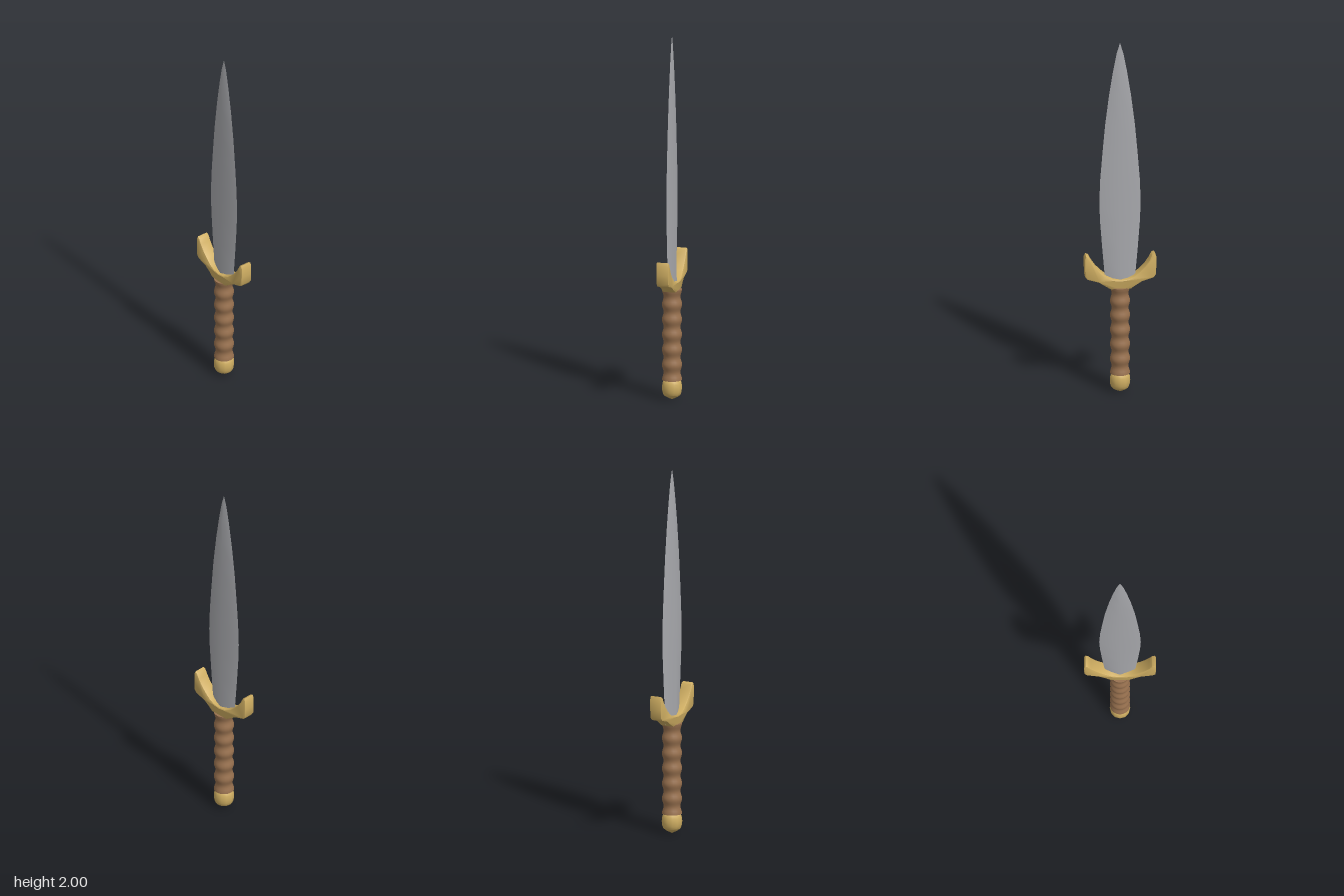
import * as THREE from 'three';
import { toCreasedNormals } from 'three/addons/utils/BufferGeometryUtils.js';

const STEEL = 0xa8a9ad, GOLD = 0xcfae62, LEATHER = 0x98714f;

function part(name, geometry, color) {
  const mesh = new THREE.Mesh(geometry, new THREE.MeshStandardMaterial({ color }));
  mesh.name = name;
  return mesh;
}

const points = (list) => list.map(([x, y]) => new THREE.Vector2(x, y));

// Leaf-shaped blade: a four-sided lathe flattened to a diamond section
function makeBlade() {
  const profile = points([[0, 0.61], [0.076, 0.61], [0.083, 0.68], [0.095, 0.82], [0.107, 0.98], [0.111, 1.09],
    [0.106, 1.22], [0.095, 1.36], [0.08, 1.53], [0.059, 1.7], [0.037, 1.84], [0.018, 1.94], [0, 2]]);
  const geo = new THREE.LatheGeometry(profile, 4);
  const pos = geo.attributes.position;
  for (let i = 0; i < pos.count; i++) {
    const z = pos.getZ(i), y = pos.getY(i);
    if (Math.abs(z) > 0.001) {
      const half = Math.min(0.027 - 0.011 * (y - 0.61), 0.065 * (2 - y));
      pos.setZ(i, Math.sign(z) * half);
    }
  }
  return part('blade', toCreasedNormals(geo, 1), STEEL);
}

// Crossguard with upswept horns, outlined on one side and mirrored
function makeGuard() {
  const lower = [[0, 0.597], [0.055, 0.603], [0.085, 0.622], [0.115, 0.641], [0.145, 0.65], [0.176, 0.66], [0.187, 0.675],
    [0.189, 0.72], [0.19, 0.772], [0.183, 0.787]];
  const upper = [[0.172, 0.782], [0.158, 0.755], [0.136, 0.722], [0.108, 0.692], [0.075, 0.665], [0.04, 0.652], [0, 0.648]];
  const half = [...lower, ...upper];
  const mirrored = half.slice(1, -1).reverse().map(([x, y]) => [-x, y]);
  const shape = new THREE.Shape(points([...half, ...mirrored]));
  const geo = new THREE.ExtrudeGeometry(shape, {
    depth: 0.054, bevelEnabled: true, bevelSize: 0.006, bevelThickness: 0.007, bevelOffset: -0.003, bevelSegments: 2,
  });
  geo.translate(0, 0, -0.027);
  // Swell the middle so it seats over the grip
  const pos = geo.attributes.position;
  for (let i = 0; i < pos.count; i++) {
    const swell = 1 - THREE.MathUtils.smoothstep(Math.abs(pos.getX(i)), 0.02, 0.1);
    pos.setZ(i, pos.getZ(i) * (1 + 0.2 * swell));
  }
  return part('crossguard', toCreasedNormals(geo, 0.7), GOLD);
}

// Wrapped grip with evenly spaced swells
function makeGrip() {
  const profile = [[0, 0.105]];
  const steps = 48;
  for (let i = 0; i <= steps; i++) {
    const t = i / steps;
    profile.push([0.0495 + 0.0045 * Math.cos(t * 6 * Math.PI * 2), 0.108 + t * 0.497]);
  }
  profile.push([0, 0.605]);
  return part('grip', toCreasedNormals(new THREE.LatheGeometry(points(profile), 20), 0.9), LEATHER);
}

// Rounded pommel with a shallow pointed base
function makePommel() {
  const profile = points([[0, 0], [0.036, 0.018], [0.047, 0.028], [0.053, 0.045], [0.055, 0.066],
    [0.053, 0.088], [0.047, 0.104], [0.038, 0.113], [0, 0.113]]);
  return part('pommel', toCreasedNormals(new THREE.LatheGeometry(profile, 12), 0.62), GOLD);
}

export function createModel() {
  const group = new THREE.Group();
  group.name = 'dagger';
  group.add(makeBlade(), makeGuard(), makeGrip(), makePommel());
  return group;
}
